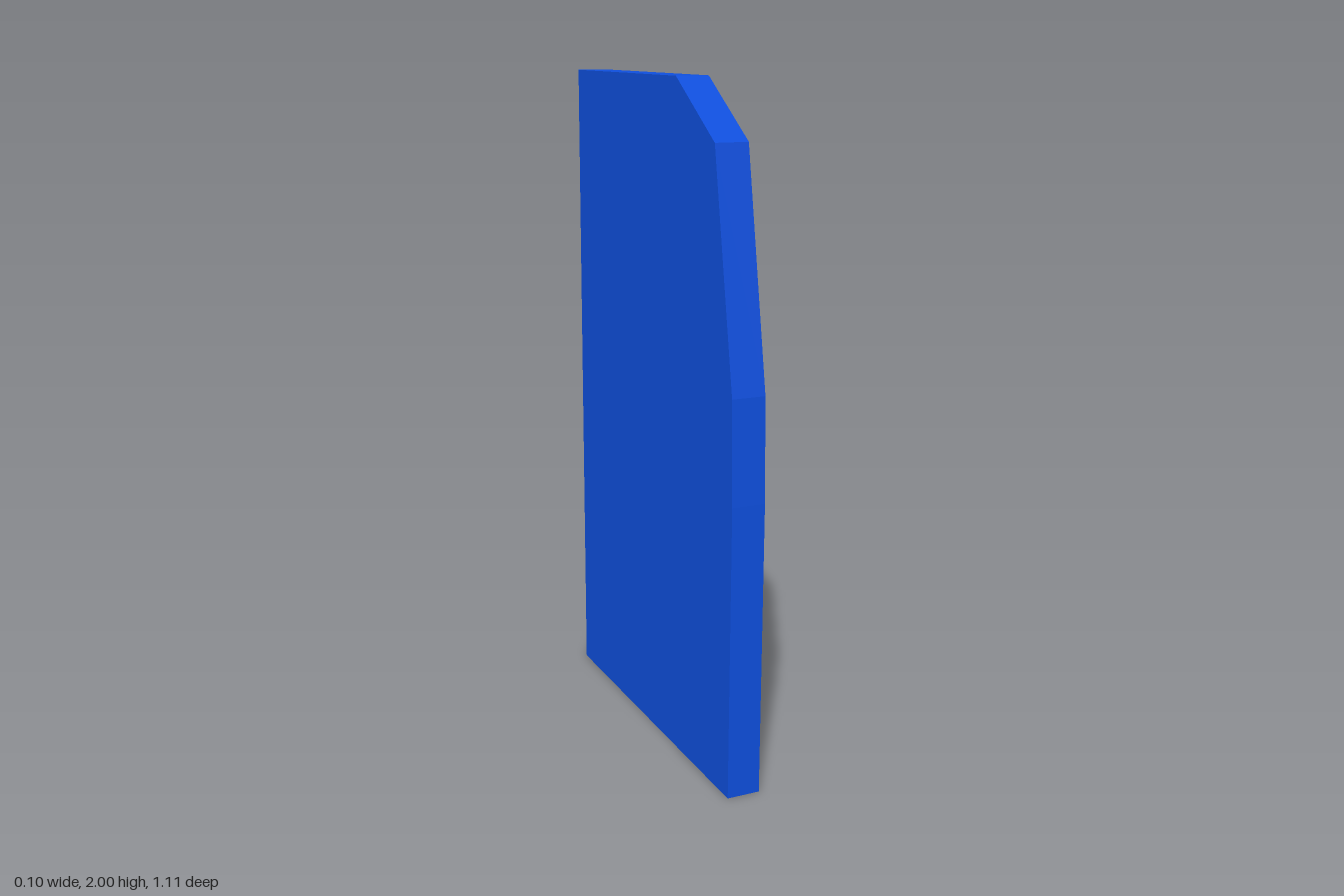
import * as THREE from 'three';
import { mergeGeometries } from 'three/addons/utils/BufferGeometryUtils.js';

// Side profiles as [z, y], door front is +z
const OUTLINE = [
  [0.548, 0], [-0.555, 0], [-0.555, 2], [0.185, 2],
  [0.43, 1.835], [0.547, 1.17], [0.555, 0.87],
];
const WINDOW = [
  [0.447, 1.2], [-0.483, 1.2], [-0.483, 1.97], [0.15, 1.97], [0.365, 1.825],
];
const HALF = 0.05;         // half the door thickness
const GLASS = HALF - 0.033; // x of the recessed glass

const toPoints = (profile, sign) => profile.map(([z, y]) => new THREE.Vector2(sign * z, y));

// Flat face at the given x, facing +x (dir 1) or -x (dir -1)
function face(profile, x, dir, hole) {
  const shape = new THREE.Shape(toPoints(profile, -dir));
  if (hole) shape.holes.push(new THREE.Path(toPoints(hole, -dir)));
  const g = new THREE.ShapeGeometry(shape).toNonIndexed();
  g.deleteAttribute('uv');
  return g.rotateY(dir * Math.PI / 2).translate(x, 0, 0);
}

// Flat-shaded wall running round a profile between two x positions
function wall(profile, x0, x1) {
  const pos = [];
  profile.forEach(([z, y], i) => {
    const [z2, y2] = profile[(i + 1) % profile.length];
    const a = [x0, y, z], b = [x0, y2, z2], c = [x1, y2, z2], d = [x1, y, z];
    pos.push(...a, ...b, ...c, ...a, ...c, ...d);
  });
  const g = new THREE.BufferGeometry();
  g.setAttribute('position', new THREE.Float32BufferAttribute(pos, 3));
  g.computeVertexNormals();
  return g;
}

export function createModel() {
  const paint = new THREE.MeshStandardMaterial({ color: 0x0e4edb });
  paint.name = 'bluePaint';
  const black = new THREE.MeshStandardMaterial({ color: 0x0e0e0e });
  black.name = 'blackGlass';

  const door = new THREE.Group();
  door.name = 'door';

  // Door panel: outer skin with window opening, plain inner skin, rim and recess walls
  const panel = new THREE.Mesh(mergeGeometries([
    face(OUTLINE, HALF, 1, WINDOW),
    face(OUTLINE, -HALF, -1),
    wall(OUTLINE, -HALF, HALF),
    wall([...WINDOW].reverse(), GLASS, HALF),
  ]), paint);
  panel.name = 'doorPanel';

  // Recessed window pane
  const pane = new THREE.Mesh(face(WINDOW, GLASS, 1), black);
  pane.name = 'windowPane';

  door.add(panel, pane);
  return door;
}
